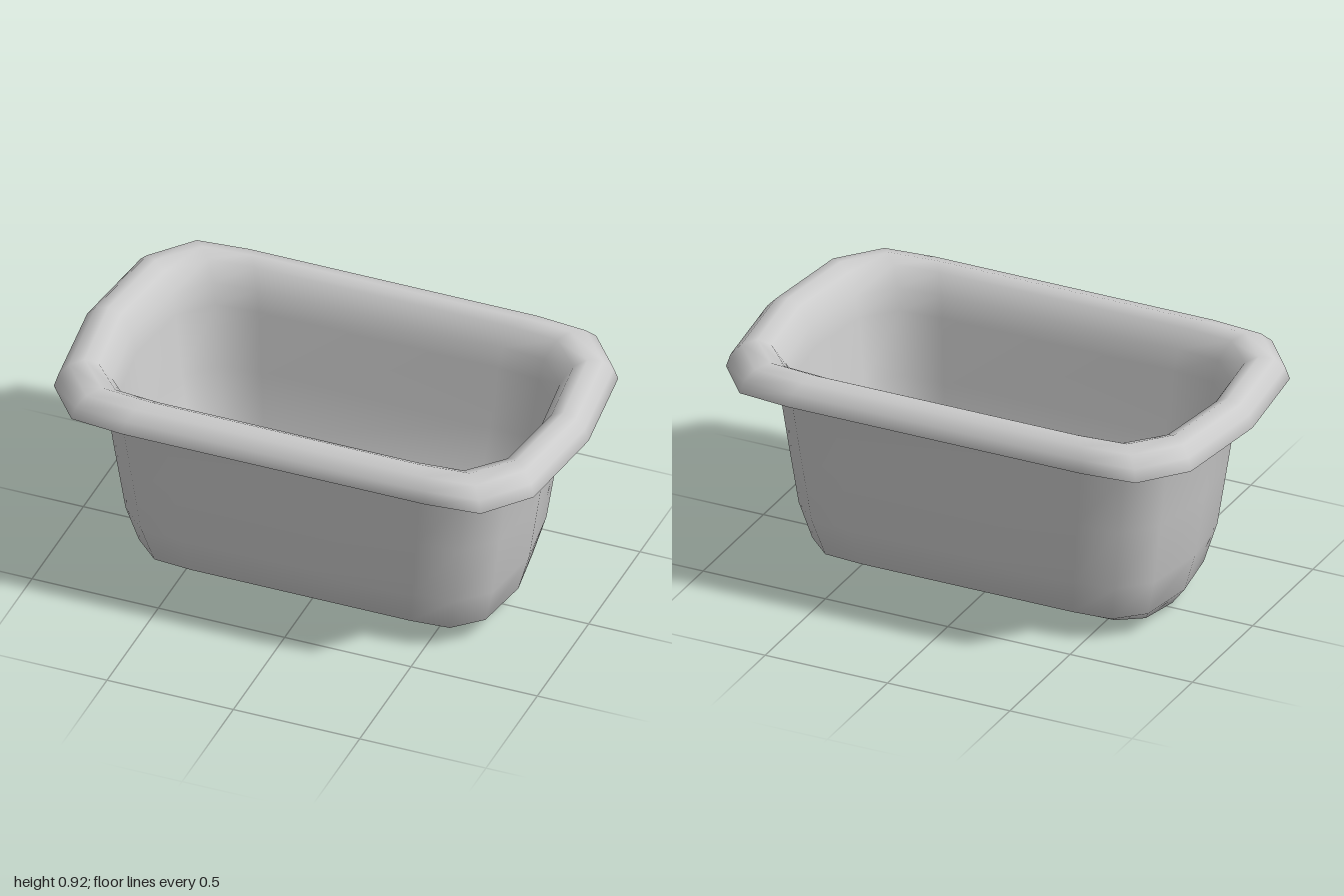
import * as THREE from 'three';
import { mergeVertices } from 'three/addons/utils/BufferGeometryUtils.js';

// Sections as [half length x, half width z, height y]
// Outside: from the spine under the floor up to the hollow of the rim
const OUTER_WALL = [
  [0.57, 0, 0.002], [0.672, 0.225, 0.022], [0.722, 0.342, 0.088], [0.765, 0.386, 0.24],
  [0.802, 0.41, 0.49], [0.837, 0.434, 0.74], [0.858, 0.45, 0.83],
];
// Rim: hollow underside, lip, and over the top to the opening
const RIM = [
  [0.885, 0.483, 0.885], [0.93, 0.54, 0.885], [0.96, 0.572, 0.86], [0.982, 0.59, 0.815],
  [1.0, 0.605, 0.82], [0.985, 0.592, 0.868], [0.95, 0.558, 0.906], [0.9, 0.508, 0.92],
  [0.853, 0.468, 0.897],
];
// Inside: down the wall to the rounded trough of the floor
const INNER_WALL = [
  [0.808, 0.43, 0.825], [0.79, 0.415, 0.74], [0.755, 0.388, 0.49], [0.712, 0.35, 0.24],
  [0.655, 0.265, 0.12], [0.57, 0.14, 0.065], [0.5, 0, 0.05],
];

// Quarter of the plan outline, as fractions of the half length and half width
const QUARTER = [[1, 0], [0.95, 0.68], [0.81, 0.965], [0.6, 1]];

// Mirror the quarter into a full loop running from +x towards +z
function outline() {
  const half = [...QUARTER, ...QUARTER.slice().reverse().map(([x, z]) => [-x, z])];
  return [...half, ...half.slice(1, -1).reverse().map(([x, z]) => [x, -z])];
}

function loft(sections, loop) {
  const n = loop.length;
  const positions = [];
  const index = [];
  sections.forEach(([hx, hz, y], i) => {
    loop.forEach(([x, z], k) => {
      positions.push(x * hx, y, z * hz);
      if (i === sections.length - 1) return;
      const a = i * n + k;
      const b = i * n + (k + 1) % n;
      index.push(a, a + n, b, b, a + n, b + n);
    });
  });
  const geometry = new THREE.BufferGeometry();
  geometry.setAttribute('position', new THREE.Float32BufferAttribute(positions, 3));
  geometry.setIndex(index);
  // Join the two sides along the floor spines so the shading runs across them
  const merged = mergeVertices(geometry);
  merged.computeVertexNormals();
  return merged;
}

export function createModel() {
  const group = new THREE.Group();
  group.name = 'basin';
  const material = new THREE.MeshStandardMaterial({ color: 0xcccccc });

  // One closed shell: outer wall, hollow rolled rim and inner wall
  const shell = new THREE.Mesh(loft([...OUTER_WALL, ...RIM, ...INNER_WALL], outline()), material);
  shell.name = 'basinShell';
  group.add(shell);
  return group;
}
